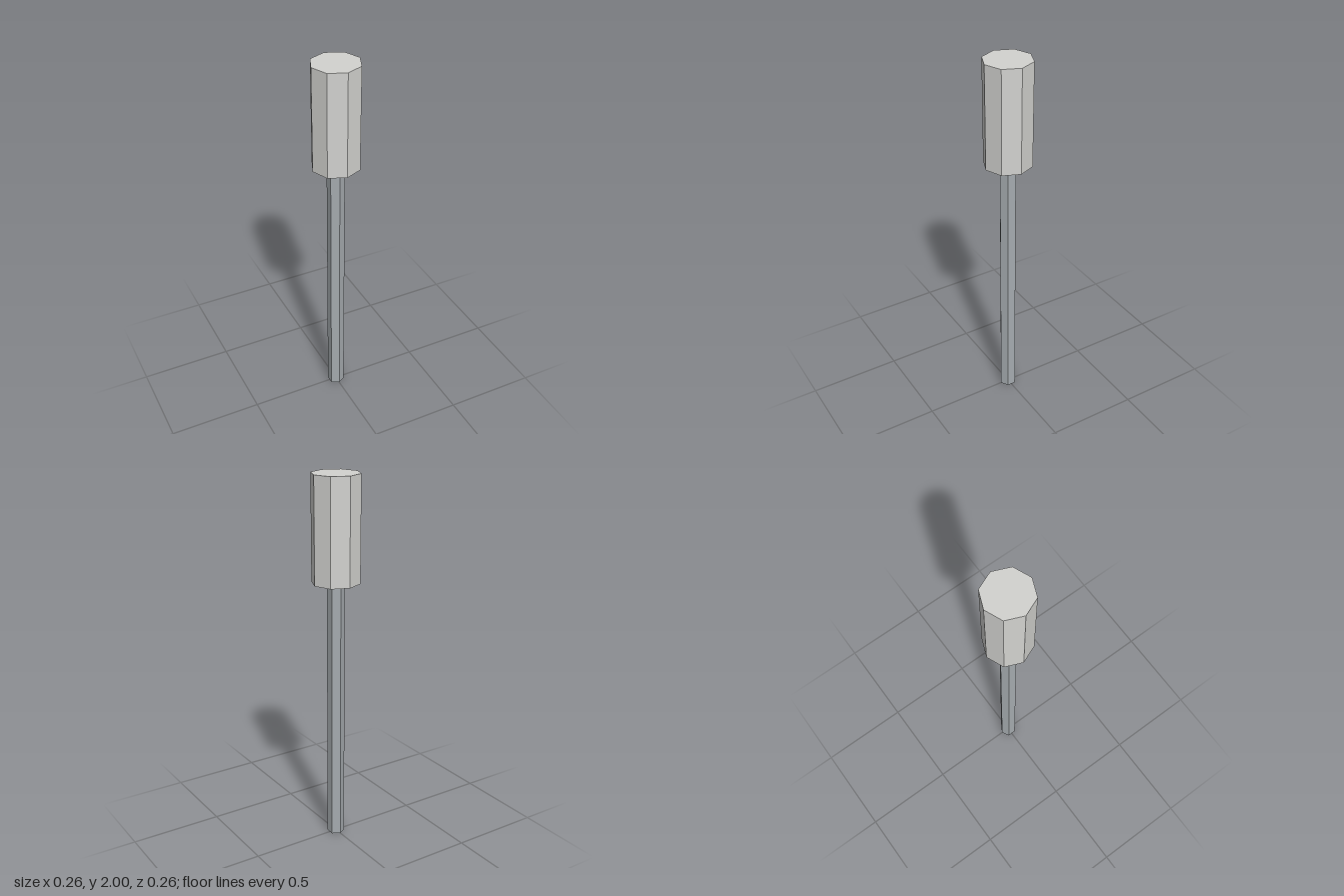
import * as THREE from 'three';

export function createModel() {
  const group = new THREE.Group();

  const headGrey = new THREE.MeshStandardMaterial({ color: 0xd2d2cf, flatShading: true });
  headGrey.name = 'light grey';
  const shaftGrey = new THREE.MeshStandardMaterial({ color: 0xa6acb0, flatShading: true });
  shaftGrey.name = 'steel grey';

  // Upright prism between two heights, with a corner facing the front
  function prism(name, radius, sides, bottom, top, material) {
    const geometry = new THREE.CylinderGeometry(radius, radius, top - bottom, sides);
    const mesh = new THREE.Mesh(geometry, material);
    mesh.name = name;
    mesh.position.y = (bottom + top) / 2;
    group.add(mesh);
  }

  // Six-sided shaft and eight-sided head
  prism('shaft', 0.046, 6, 0, 1.444, shaftGrey);
  prism('head', 0.128, 8, 1.444, 2, headGrey);

  return group;
}
